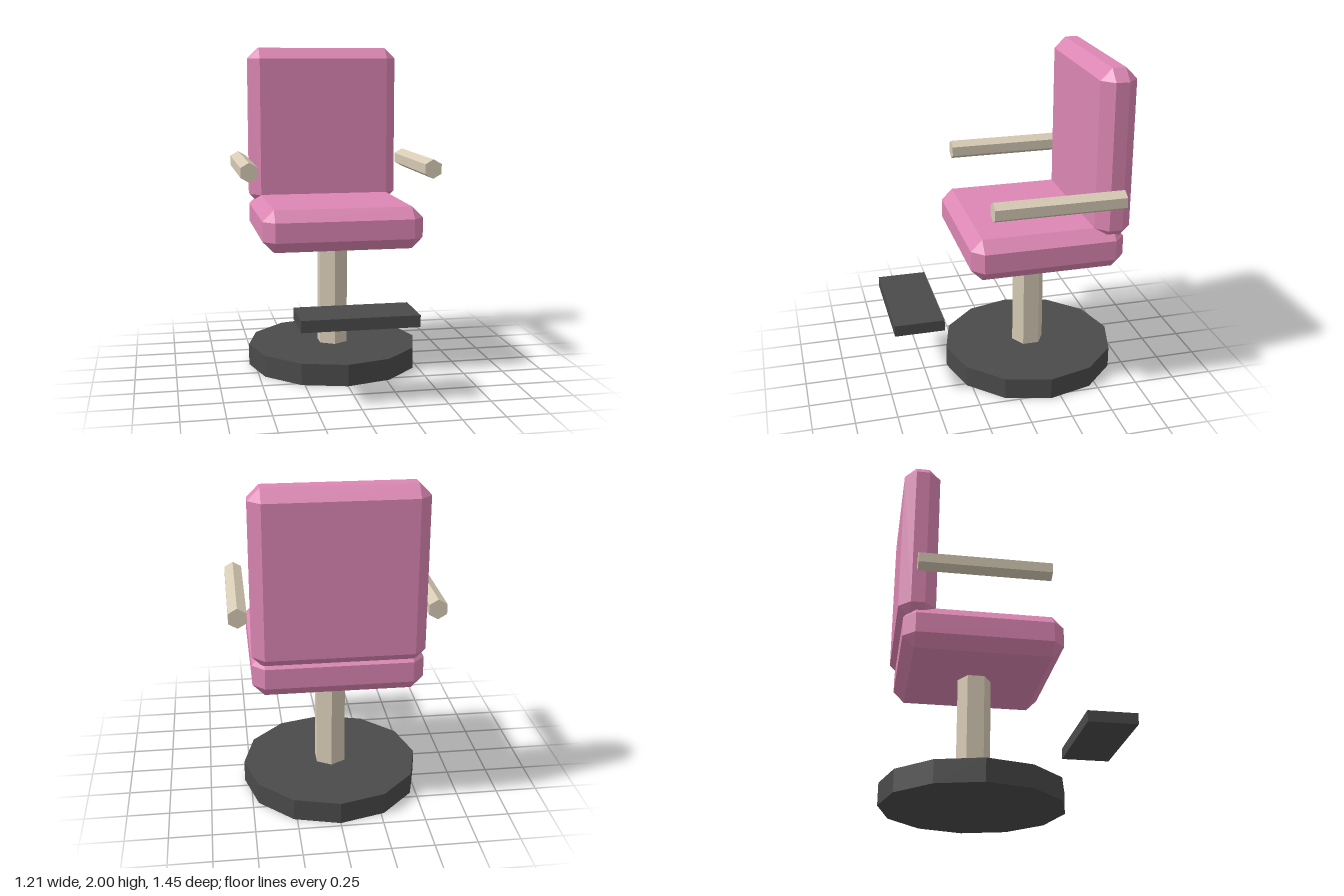
import * as THREE from 'three';
import { ConvexGeometry } from 'three/addons/geometries/ConvexGeometry.js';

const material = (name, color) => {
  const m = new THREE.MeshStandardMaterial({ color });
  m.name = name;
  return m;
};

// Box with flat chamfers on every edge and triangular corners
function cushionGeometry(w, h, d, c) {
  const points = [];
  const [x, y, z] = [w / 2, h / 2, d / 2];
  for (const sx of [-1, 1]) for (const sy of [-1, 1]) for (const sz of [-1, 1]) {
    points.push(
      new THREE.Vector3(sx * x, sy * (y - c), sz * (z - c)),
      new THREE.Vector3(sx * (x - c), sy * y, sz * (z - c)),
      new THREE.Vector3(sx * (x - c), sy * (y - c), sz * z)
    );
  }
  return new ConvexGeometry(points);
}

// Faceted cylinder with crisp sides
function prism(radius, height, sides) {
  const g = new THREE.CylinderGeometry(radius, radius, height, sides).toNonIndexed();
  g.computeVertexNormals();
  return g;
}

export function createModel() {
  const group = new THREE.Group();
  group.name = 'salonChair';
  const pink = material('pink upholstery', 0xdc86b3);
  const beige = material('beige metal', 0xd6cab4);
  const dark = material('dark grey', 0x4a4a4a);

  const add = (name, geometry, mat, x, y, z) => {
    const mesh = new THREE.Mesh(geometry, mat);
    mesh.name = name;
    mesh.position.set(x, y, z);
    group.add(mesh);
    return mesh;
  };

  const axisZ = -0.185;

  // Base and column
  add('base', prism(0.538, 0.132, 12), dark, 0, 0.066, axisZ);
  add('column', prism(0.1, 0.72, 6), beige, 0, 0.48, axisZ);

  // Cushions
  add('seat', cushionGeometry(0.972, 0.255, 0.927, 0.068), pink, 0, 0.9225, axisZ);
  add('backrest', cushionGeometry(0.972, 1.02, 0.216, 0.068), pink, 0, 1.49, -0.573);

  // Armrests, one on each side
  for (const [name, side] of [['leftArmrest', 1], ['rightArmrest', -1]]) {
    const geometry = prism(0.059, 0.77, 6).rotateX(Math.PI / 2);
    add(name, geometry, beige, side * 0.556, 1.27, -0.203);
  }

  // Footrest
  add('footrest', new THREE.BoxGeometry(0.672, 0.068, 0.299), dark, 0, 0.482, 0.573);

  return group;
}
